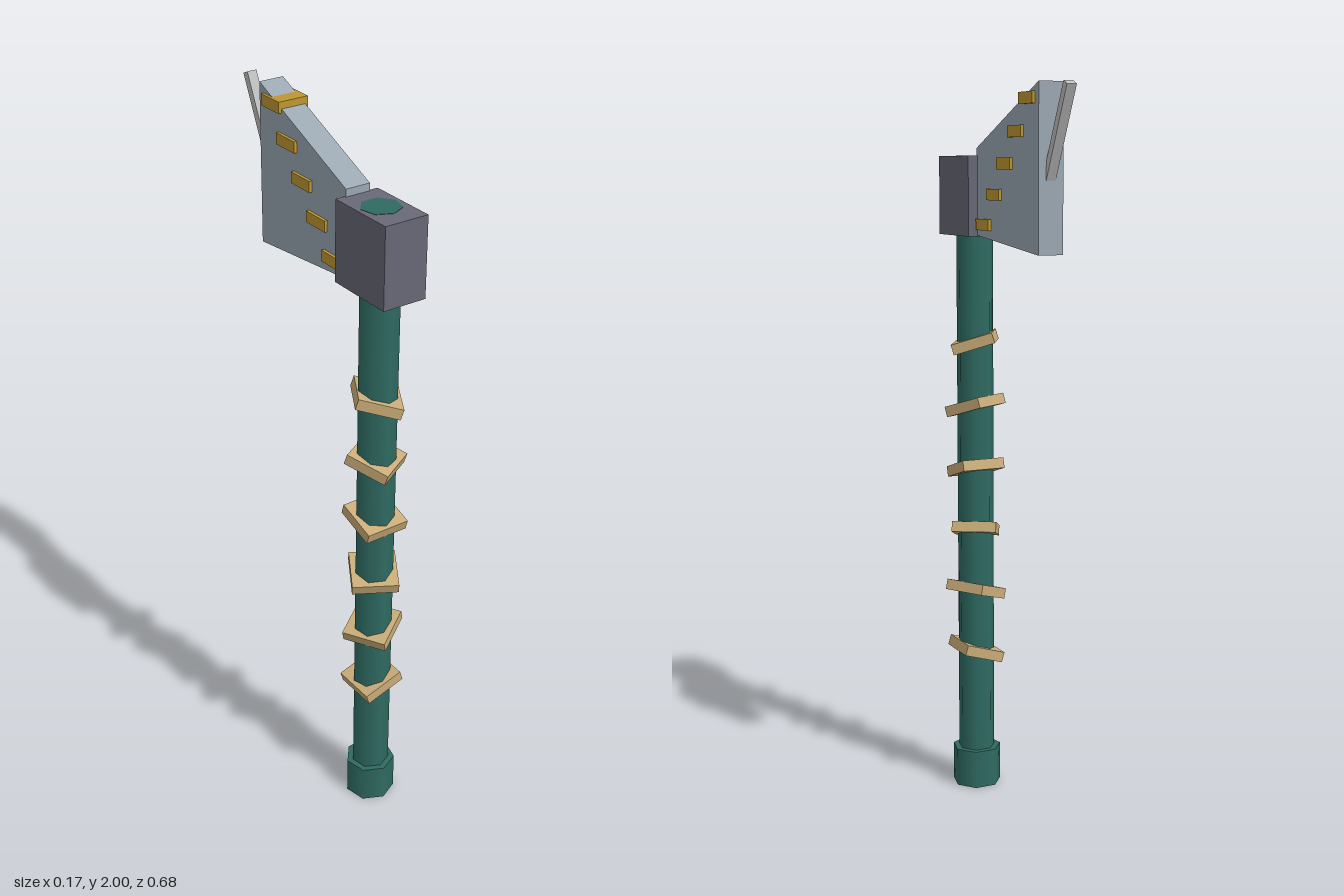
import * as THREE from 'three';

const mat = (name, color) => {
  const m = new THREE.MeshStandardMaterial({ color });
  m.name = name;
  return m;
};

export function createModel() {
  const green = mat('green handle', 0x2f6b62);
  const iron = mat('dark iron', 0x686877);
  const steel = mat('blue steel', 0x9ba8b3);
  const gold = mat('gold', 0xbf9630);
  const leather = mat('tan leather', 0xc9ac78);
  const silver = mat('silver', 0xbfbfbf);

  const axe = new THREE.Group();
  axe.name = 'axe';
  const SHAFT_Z = 0.238;

  const add = (name, geometry, material, x, y, z) => {
    const mesh = new THREE.Mesh(geometry, material);
    mesh.name = name;
    mesh.position.set(x, y, z);
    axe.add(mesh);
    return mesh;
  };

  // Seven-sided shaft, just proud of the head block, and its pommel
  add('shaft', new THREE.CylinderGeometry(0.0526, 0.0526, 1.771, 7), green, 0, 0.9355, SHAFT_Z);
  add('pommel', new THREE.CylinderGeometry(0.07, 0.07, 0.11, 7), green, 0, 0.055, SHAFT_Z);

  // Tilted square wraps turning as they climb the shaft
  for (let i = 0; i < 6; i++) {
    const wrap = add('gripWrap', new THREE.BoxGeometry(0.12, 0.03, 0.126), leather, 0, 0.405 + i * 0.18, SHAFT_Z);
    wrap.rotation.set(0, i * Math.PI / 6, 0.3);
  }

  // Head block
  add('headBlock', new THREE.BoxGeometry(0.124, 0.216, 0.2), iron, 0, 1.712, 0.24);

  // Flared blade: side outline drawn as (-z, y), extruded across x
  const outline = new THREE.Shape([
    [-0.145, 1.607], [0.23, 1.57], [0.23, 2.0], [-0.145, 1.84],
  ].map(([a, y]) => new THREE.Vector2(a, y)));
  const bladeGeometry = new THREE.ExtrudeGeometry(outline, { depth: 0.07, bevelEnabled: false });
  bladeGeometry.translate(0, 0, -0.035).rotateY(Math.PI / 2);
  add('blade', bladeGeometry, steel, 0, 0, 0);

  // Stepped gold bars passing through the blade
  for (let i = 0; i < 5; i++) {
    add('goldBar', new THREE.BoxGeometry(0.087, 0.03, 0.08), gold, 0, 1.637 + i * 0.081, 0.093 - i * 0.0658);
  }

  // Slanted spike, rooted in the back of the blade
  const spike = add('spike', new THREE.BoxGeometry(0.027, 0.3, 0.021), silver, 0, 1.857, -0.266);
  spike.rotation.x = -0.44;

  return axe;
}
